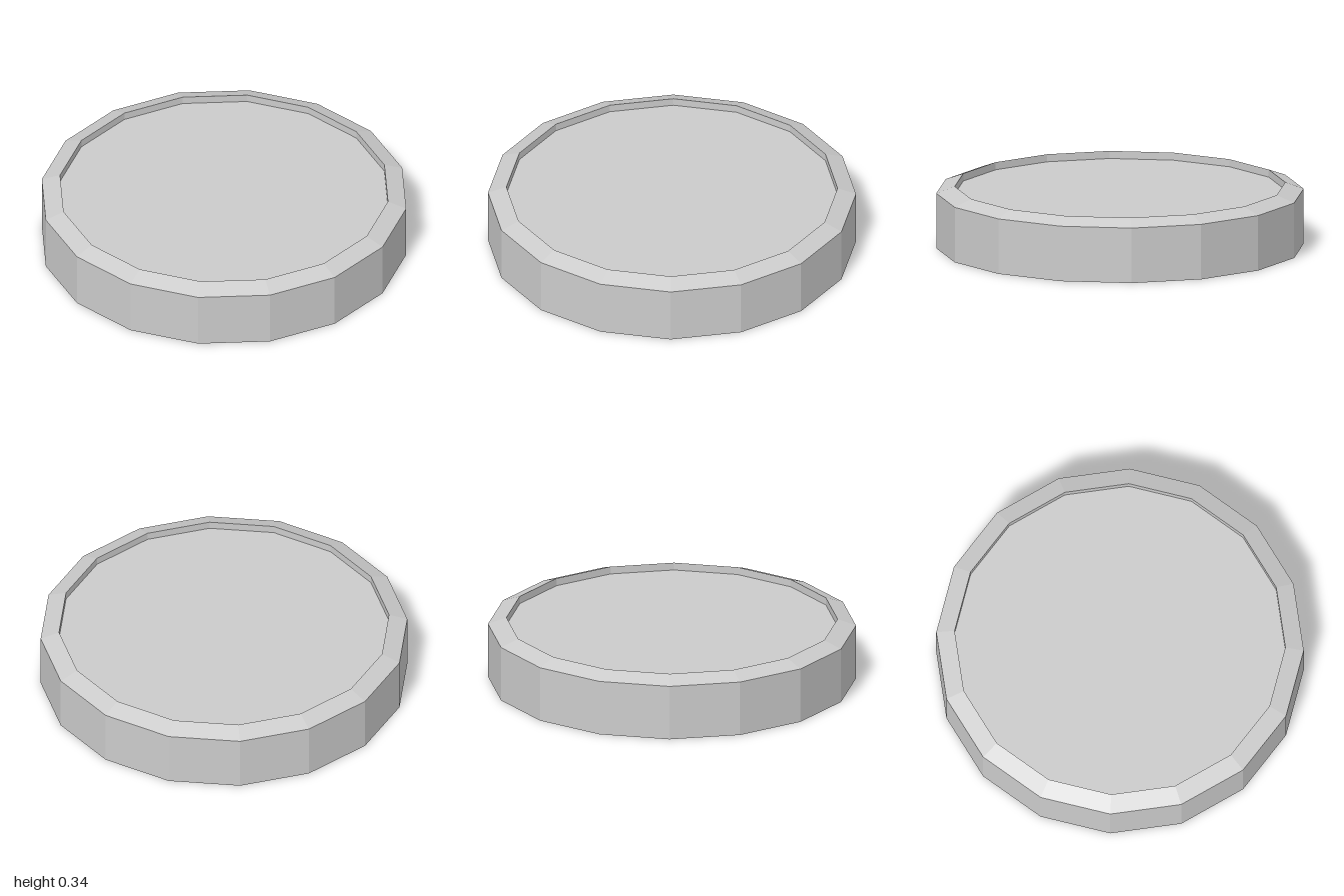
import * as THREE from 'three';

const SIDES = 16;
const RIM_RADIUS = 0.9;
const FLOOR_Y = 0.3;

export function createModel() {
  const group = new THREE.Group();
  group.name = 'shallowDish';
  const material = new THREE.MeshStandardMaterial({ color: 0xcccccc, flatShading: true });

  const addPart = (name, profile) => {
    const points = profile.map(([r, y]) => new THREE.Vector2(r, y));
    const mesh = new THREE.Mesh(new THREE.LatheGeometry(points, SIDES), material);
    mesh.name = name;
    group.add(mesh);
  };

  // Flat underside and upright outer wall
  addPart('base', [[0, 0], [1, 0], [1, 0.305]]);
  // Sloped rim and the short wall down to the recess
  addPart('rim', [[1, 0.305], [RIM_RADIUS, 0.342], [RIM_RADIUS, FLOOR_Y]]);
  // Sunken top face
  addPart('recessedTop', [[RIM_RADIUS, FLOOR_Y], [0, FLOOR_Y]]);

  return group;
}
